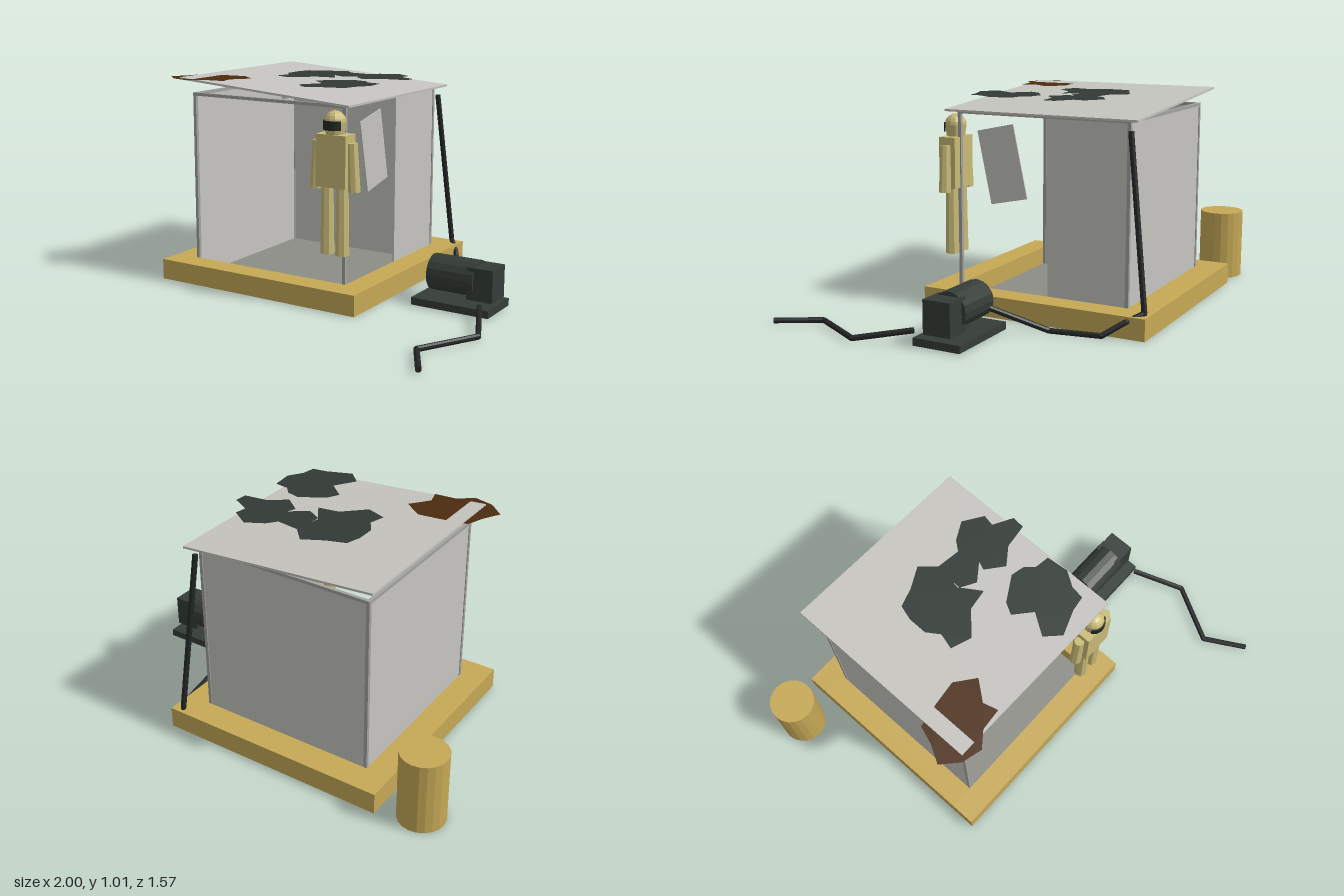
import * as THREE from 'three';

const mat = (name, color, extra = {}) => {
  const m = new THREE.MeshStandardMaterial({ color, ...extra });
  m.name = name;
  return m;
};

export function createModel() {
  const root = new THREE.Group();
  root.name = 'fieldShelter';
  const timber = mat('timber', 0xc6a956, { flatShading: true });
  const panel = mat('palePanel', 0xc6c5c0);
  const steel = mat('steelFrame', 0xa3a3a0);
  const floorGrey = mat('floorGrey', 0x8d8d87);
  const iron = mat('darkIron', 0x353d37, { flatShading: true });
  const moss = mat('darkPatch', 0x323a34, { side: THREE.DoubleSide });
  const rust = mat('rust', 0x4c2c10, { side: THREE.DoubleSide });
  const rubber = mat('rubber', 0x222624, { flatShading: true });
  const suit = mat('suitYellow', 0xc9bb78, { flatShading: true });

  const add = (name, geo, material, parent = root) => {
    const m = new THREE.Mesh(geo, material);
    m.name = name;
    parent.add(m);
    return m;
  };
  // Box given by its two extreme corners
  const box = (name, material, [x0, x1], [y0, y1], [z0, z1], parent = root) => {
    const m = add(name, new THREE.BoxGeometry(x1 - x0, y1 - y0, z1 - z0), material, parent);
    m.position.set((x0 + x1) / 2, (y0 + y1) / 2, (z0 + z1) / 2);
    return m;
  };

  // Timber ring around the floor
  const L = -0.6, R = 0.27, B = -0.65, F = 0.22;
  box('baseBeamFront', timber, [-0.72, 0.39], [0, 0.1], [F, 0.34]);
  box('baseBeamBack', timber, [-0.72, 0.39], [0, 0.1], [-0.78, B]);
  box('baseBeamLeftEnd', timber, [-0.72, L], [0, 0.1], [B, F]);
  box('baseBeamRightEnd', timber, [R, 0.39], [0, 0.1], [B, F]);
  box('floor', floorGrey, [L, R], [0.002, 0.01], [B, F]);

  // Corner posts and top rails
  const t = 0.016;
  for (const x of [L, R - t]) {
    for (const z of [B, F - t]) box('cornerPost', steel, [x, x + t], [0, 0.93], [z, z + t]);
    box('sideRail', steel, [x, x + t], [0.915, 0.93], [B + t, F - t]);
  }
  for (const z of [B, F - t]) box('crossRail', steel, [L + t, R - t], [0.915, 0.93], [z, z + t]);

  // Walls: two closed sides and one half-closed side
  box('backWall', panel, [L + t, R - t], [0.01, 0.915], [B + 0.004, B + 0.012]);
  box('sideWall', panel, [L + 0.004, L + 0.012], [0.01, 0.915], [B + t, F - t]);
  box('halfWall', panel, [R - 0.012, R - 0.004], [0.01, 0.915], [B + t, -0.25]);

  // Loose panel hanging askew in the open side
  const loose = add('loosePanel', new THREE.BoxGeometry(0.006, 0.345, 0.19), panel);
  loose.position.set(0.277, 0.693, -0.021);
  loose.rotation.x = 0.212;

  // Sloping roof sheet
  const roof = add('roof', new THREE.BoxGeometry(0.96, 0.01, 0.965), panel);
  roof.position.set(-0.165, 0.966, -0.2175);
  roof.rotation.z = -0.072;

  // Hanging lamps
  for (const x of [-0.34, 0.005]) {
    const lamp = add('lampShade', new THREE.CylinderGeometry(0.013, 0.032, 0.028, 12), steel);
    lamp.position.set(x, 0.886, -0.215);
  }

  // Ragged flat patches over the roof, outlines as x, z pairs
  const patch = (name, material, pts, y) => {
    const shape = new THREE.Shape(pts.map(([x, z]) => new THREE.Vector2(x, -z)));
    add(name, new THREE.ShapeGeometry(shape).rotateX(-Math.PI / 2), material).position.y = y;
  };
  patch('darkPatchA', moss, [[-0.345, -0.32], [-0.325, -0.39], [-0.235, -0.42], [-0.14, -0.47], [-0.075, -0.4],
    [-0.095, -0.27], [-0.03, -0.17], [-0.13, -0.155], [-0.23, -0.06], [-0.325, -0.095], [-0.305, -0.17], [-0.345, -0.23]], 1);
  patch('darkPatchB', moss, [[-0.09, -0.35], [-0.075, -0.4], [0.035, -0.385], [0.07, -0.43], [0.155, -0.475],
    [0.245, -0.415], [0.235, -0.36], [0.325, -0.31], [0.32, -0.25], [0.205, -0.235], [0.125, -0.175], [0.045, -0.24],
    [0.06, -0.28], [-0.02, -0.22], [-0.09, -0.26]], 1.001);
  patch('darkPatchC', moss, [[-0.005, -0.06], [0.11, -0.13], [0.175, -0.115], [0.21, -0.075], [0.28, -0.065],
    [0.29, 0.04], [0.245, 0.11], [0.235, 0.175], [0.165, 0.185], [0.045, 0.23], [-0.02, 0.165], [0.045, 0.065], [-0.035, -0.005]], 1);
  patch('rustPatch', rust, [[-0.665, 0.05], [-0.555, 0.03], [-0.435, 0.015], [-0.345, 0.085], [-0.415, 0.175],
    [-0.395, 0.245], [-0.5, 0.255], [-0.57, 0.31], [-0.665, 0.285], [-0.74, 0.215], [-0.695, 0.135]], 1);

  // Barrel
  add('barrel', new THREE.CylinderGeometry(0.108, 0.108, 0.34, 20), timber).position.set(-0.893, 0.17, -0.68);

  // Suited figure hanging at the front corner
  const figure = new THREE.Group();
  figure.name = 'suitedFigure';
  figure.position.set(0.235, 0, 0.253);
  root.add(figure);
  box('torso', suit, [-0.077, 0.08], [0.565, 0.805], [-0.043, 0.043], figure);
  for (const s of [-1, 1]) {
    const arm = add('arm', new THREE.CylinderGeometry(0.024, 0.029, 0.22, 8), suit, figure);
    arm.position.set(s * 0.096, 0.66, 0);
    arm.rotation.z = s * 0.05;
    const leg = add('leg', new THREE.CylinderGeometry(0.028, 0.033, 0.315, 8), suit, figure);
    leg.position.set(s * 0.04, 0.4075, 0);
  }
  add('helmetBase', new THREE.CylinderGeometry(0.051, 0.042, 0.06, 12, 1), suit, figure).position.y = 0.83;
  add('helmetDome', new THREE.SphereGeometry(0.051, 12, 5, 0, Math.PI * 2, 0, Math.PI / 2), suit, figure).position.y = 0.859;
  add('visor', new THREE.CylinderGeometry(0.055, 0.055, 0.042, 8, 1, false, -1.05, 2.1), rubber, figure).position.y = 0.846;

  // Pump unit
  box('pumpPlate', iron, [0.525, 0.91], [0.005, 0.04], [-0.178, 0.053]);
  const drum = add('pumpDrum', new THREE.CylinderGeometry(0.085, 0.085, 0.23, 16), iron);
  drum.rotation.z = Math.PI / 2;
  drum.position.set(0.697, 0.147, -0.065);
  box('pumpBlock', iron, [0.78, 0.905], [0.06, 0.212], [-0.13, 0.004]);

  // Hoses as straight runs with rounded joints
  const hose = (name, pts, r) => {
    const g = new THREE.Group();
    g.name = name;
    root.add(g);
    const v = pts.map(p => new THREE.Vector3(...p));
    v.forEach((a, i) => {
      const b = v[i + 1];
      if (!b) return;
      const run = add('hoseRun', new THREE.CylinderGeometry(r, r, a.distanceTo(b), 8), rubber, g);
      run.position.copy(a).lerp(b, 0.5);
      run.quaternion.setFromUnitVectors(new THREE.Vector3(0, 1, 0), b.clone().sub(a).normalize());
      if (i) add('hoseJoint', new THREE.SphereGeometry(r, 8, 6), rubber, g).position.copy(a);
    });
  };
  hose('supplyHose', [[0.285, 0.885, -0.657], [0.337, 0.11, -0.755], [0.39, 0.075, -0.69], [0.45, 0.018, -0.605],
    [0.49, 0.018, -0.375], [0.6, 0.118, -0.13]], 0.013);
  hose('drainHose', [[0.875, 0.06, 0.07], [0.983, 0.018, 0.315], [0.834, 0.018, 0.585], [0.945, 0.018, 0.78]], 0.013);

  return root;
}
